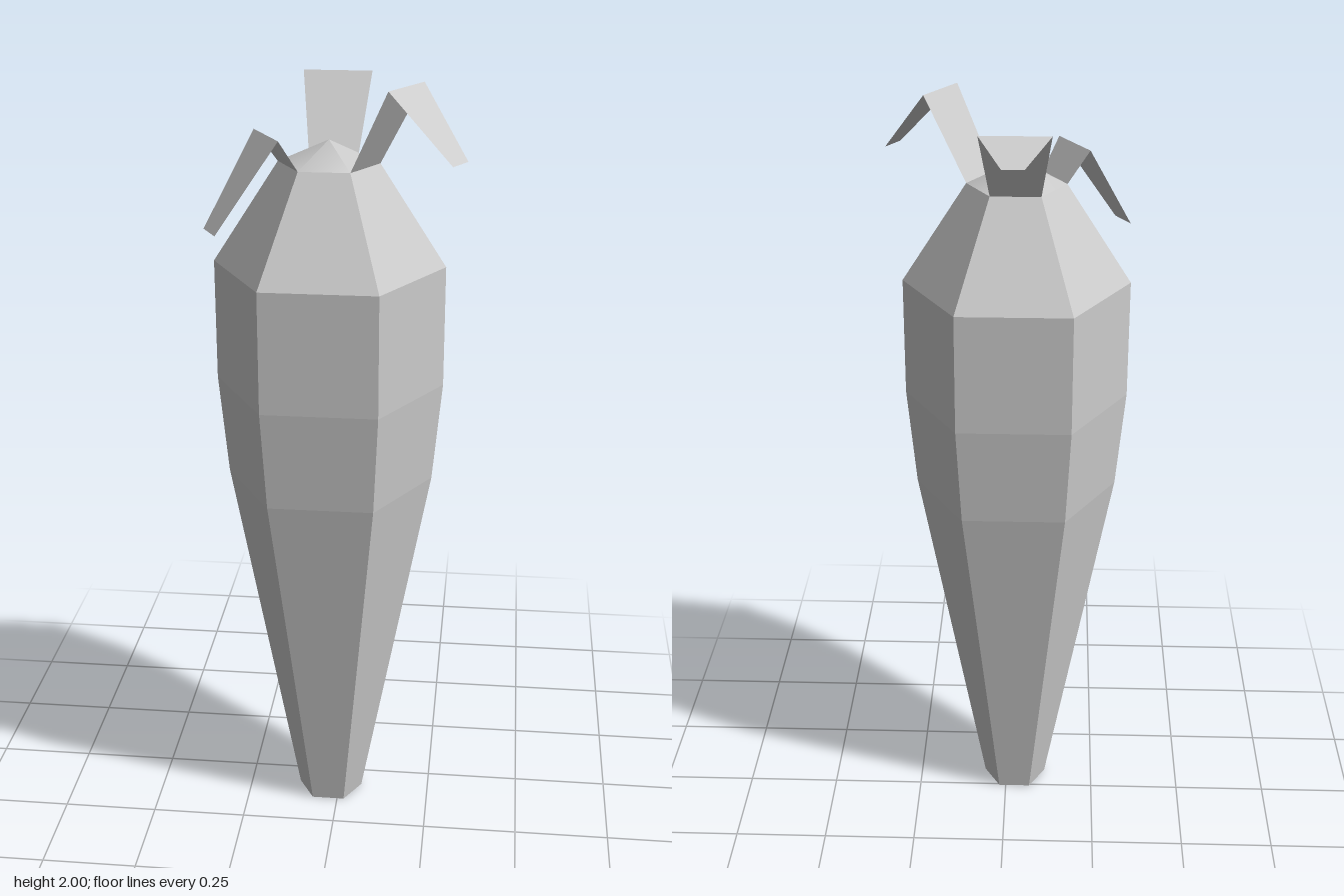
import * as THREE from 'three';

const CX = -0.025, CZ = 0.07, SHOULDER = 1.795, NECK = 0.125;

// Six-sided solid of revolution with corners pointing along x
function hexLathe(profile) {
  const points = profile.map(([r, y]) => new THREE.Vector2(r, y));
  return new THREE.LatheGeometry(points, 6, Math.PI / 2).translate(CX, 0, CZ);
}

// Folded leaf: rows of [left, right] points joined by quads
function leafGeometry(rows) {
  const index = [];
  for (let i = 0; i < rows.length - 1; i++) {
    const a = i * 2;
    index.push(a, a + 1, a + 3, a, a + 3, a + 2);
  }
  const geometry = new THREE.BufferGeometry();
  geometry.setAttribute('position', new THREE.Float32BufferAttribute(rows.flat(2), 3));
  geometry.setIndex(index);
  geometry.computeVertexNormals();
  return geometry;
}

export function createModel() {
  const group = new THREE.Group();
  const add = (name, geometry, options) => {
    const material = new THREE.MeshStandardMaterial({ color: 0xcccccc, ...options });
    const mesh = new THREE.Mesh(geometry, material);
    mesh.name = name;
    group.add(mesh);
  };

  // Tapered root with a closed, blunt tip
  add('rootBody', hexLathe([
    [0, 0], [0.087, 0], [0.266, 0.97], [0.29, 1.23], [0.29, 1.54], [NECK, SHOULDER],
  ]), { flatShading: true });

  // Shallow, softly shaded crown between the leaves
  add('crown', hexLathe([[NECK, SHOULDER], [0, 1.85]]), {});

  // Leaves grow from every other crown edge: root, fold, tip
  const corner = (k) => [
    CX + NECK * Math.cos(k * Math.PI / 3), SHOULDER, CZ + NECK * Math.sin(k * Math.PI / 3),
  ];
  const leaves = {
    leftLeaf: [
      [corner(0), corner(1)],
      [[0.205, 2, 0.115], [0.13, 2, 0.245]],
      [[0.315, 1.84, 0.228], [0.282, 1.84, 0.285]],
    ],
    rightLeaf: [
      [corner(2), corner(3)],
      [[-0.128, 1.875, 0.217], [-0.205, 1.875, 0.085]],
      [[-0.277, 1.655, 0.258], [-0.315, 1.655, 0.193]],
    ],
    backLeaf: [
      [corner(4), corner(5)],
      [[-0.113, 1.975, -0.157], [0.06, 1.975, -0.157]],
      [[-0.053, 1.945, -0.323], [0, 1.945, -0.323]],
    ],
  };
  for (const [name, rows] of Object.entries(leaves)) {
    add(name, leafGeometry(rows), { flatShading: true, side: THREE.DoubleSide });
  }
  return group;
}
